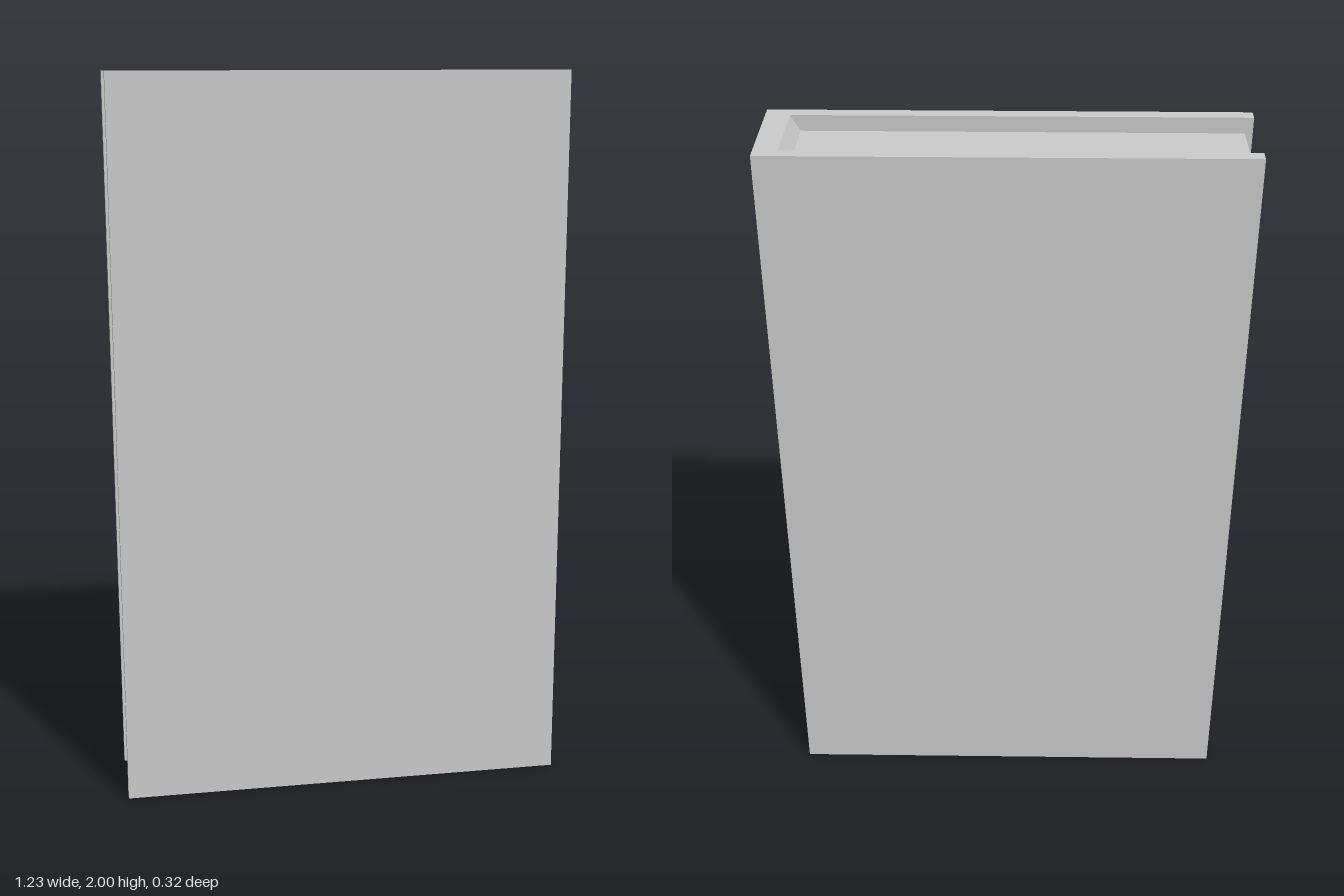
import * as THREE from 'three';

const W = 0.617, H = 1.9955, T = 0.291; // half width, height, thickness
const BOARD = 0.036, SPINE_X = 0.555, LEAN = -0.0152;

const material = new THREE.MeshStandardMaterial({ color: 0xcccccc, flatShading: true });

// Extrudes an outline of [x, y] points, centred in depth
function prism(name, points, depth) {
  const shape = new THREE.Shape(points.map(([x, y]) => new THREE.Vector2(x, y)));
  const geometry = new THREE.ExtrudeGeometry(shape, { depth, bevelEnabled: false });
  geometry.translate(0, 0, -depth / 2);
  const mesh = new THREE.Mesh(geometry, material);
  mesh.name = name;
  return mesh;
}

export function createModel() {
  const book = new THREE.Group();
  book.name = 'book';

  // Cover: two boards and the spine as one U-shaped section, open at -x
  const t = T / 2, inner = t - BOARD;
  const cover = prism('cover', [
    [-W, -t], [W, -t], [W, t], [-W, t],
    [-W, inner], [SPINE_X, inner], [SPINE_X, -inner], [-W, -inner],
  ], H);
  cover.geometry.rotateX(-Math.PI / 2);

  // Pages: set back from the cover edges, flaring up to meet the spine
  const top = H / 2, page = top - 0.042;
  const pages = prism('pages', [
    [-0.597, -page], [0.53, -page], [SPINE_X, -top],
    [SPINE_X, top], [0.53, page], [-0.597, page],
  ], inner * 2);

  book.add(cover, pages);

  // Slight backward lean, resting on the lower back edge
  book.rotation.x = LEAN;
  book.position.y = 1;

  const model = new THREE.Group();
  model.name = 'leaningBook';
  model.add(book);
  return model;
}
